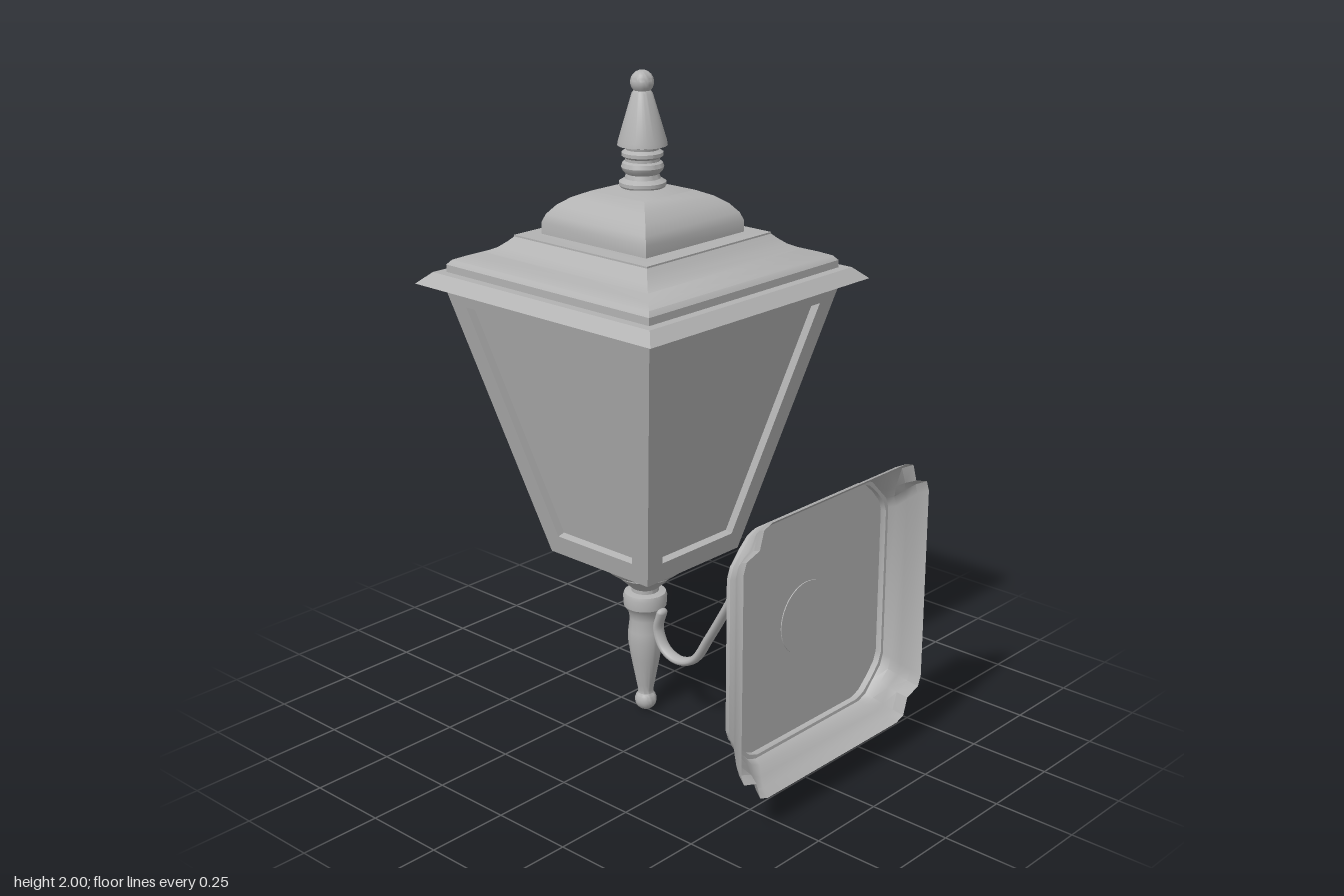
import * as THREE from 'three';
import { toCreasedNormals } from 'three/addons/utils/BufferGeometryUtils.js';

const metal = new THREE.MeshStandardMaterial({ name: 'greyMetal', color: 0xb2b2b2 });
const shell = new THREE.MeshStandardMaterial({ name: 'greyShell', color: 0xb2b2b2, side: THREE.DoubleSide });

const CREASE = 0.55;
const AXIS_X = -0.143;

function part(name, geometry, material = metal) {
  const mesh = new THREE.Mesh(geometry, material);
  mesh.name = name;
  return mesh;
}

// Round turning; profile is [radius, y] from bottom to top
function turned(name, profile) {
  const pts = profile.map(([r, y]) => new THREE.Vector2(r, y));
  return part(name, toCreasedNormals(new THREE.LatheGeometry(pts, 40), CREASE));
}

// Square loft; profile is [half width, y] from bottom to top
function square(name, profile) {
  const pts = profile.map(([h, y]) => new THREE.Vector2(h * Math.SQRT2, y));
  const geo = new THREE.LatheGeometry(pts, 4);
  geo.rotateY(Math.PI / 4);
  return part(name, toCreasedNormals(geo, CREASE));
}

// Points of a small ball, for the finial ends
function ball(cy, r, from, to, n = 8) {
  return Array.from({ length: n + 1 }, (_, i) => {
    const a = from + (to - from) * i / n;
    return [Math.max(0, r * Math.cos(a)), cy + r * Math.sin(a)];
  });
}

// Sloped frame around one pane
function paneFrame() {
  const bottom = 0.54, top = 1.39, low = 0.2, high = 0.41;
  const tilt = Math.atan2(high - low, top - bottom);
  const v = y => (y - bottom) / Math.cos(tilt);
  const trapezoid = (T, y0, w0, y1, w1) => new T([
    [-w0, y0], [w0, y0], [w1, y1], [-w1, y1],
  ].map(([x, y]) => new THREE.Vector2(x, v(y))));
  const shape = trapezoid(THREE.Shape, bottom, low, top, high);
  shape.holes.push(trapezoid(THREE.Path, 0.605, 0.153, 1.325, 0.33));
  const geo = new THREE.ExtrudeGeometry(shape, { depth: 0.025, bevelEnabled: false });
  geo.translate(0, 0, -0.025);
  geo.rotateX(tilt);
  geo.translate(0, bottom, low);
  return geo;
}

// Outline of the wall plate in (z, y), with shaped corners
function plateOutline(h, dent) {
  const m = 0.045 + dent;
  const corner = [[0, 0.115], [0.012, 0.082], [m, m], [0.082, 0.012], [0.115, 0]];
  const out = [];
  for (let q = 0; q < 4; q++) {
    const c = [1, 0, -1, 0][q], s = [0, 1, 0, -1][q];
    for (const [a, b] of corner) {
      const z = h - a, y = h - b;
      out.push([z * c - y * s, z * s + y * c]);
    }
  }
  return out;
}

// Hollow wall plate, open towards the wall
function wallPlate() {
  const rings = [[0.486, 0.343, 0], [0.505, 0.343, 0], [0.506, 0.352, 0.002], [0.53, 0.36, 0.006],
    [0.552, 0.38, 0.012], [0.575, 0.399, 0.018], [0.605, 0.413, 0.02]];
  const pos = [0.486, 0, 0], index = [];
  const n = 20;
  for (const [x, h, dent] of rings) {
    for (const [z, y] of plateOutline(h, dent)) pos.push(x, y, z);
  }
  for (let k = 0; k < n; k++) {
    const next = (k + 1) % n;
    index.push(0, 1 + k, 1 + next);
    for (let i = 0; i < rings.length - 1; i++) {
      const a = 1 + i * n + k, b = 1 + i * n + next;
      index.push(a, a + n, b, b, a + n, b + n);
    }
  }
  const geo = new THREE.BufferGeometry();
  geo.setAttribute('position', new THREE.Float32BufferAttribute(pos, 3));
  geo.setIndex(index);
  return toCreasedNormals(geo, 0.7);
}

export function createModel() {
  const model = new THREE.Group();
  model.name = 'wallLantern';

  const lantern = new THREE.Group();
  lantern.name = 'lantern';
  lantern.position.x = AXIS_X;
  model.add(lantern);

  // Panes and floor, with a frame on each side
  lantern.add(square('panes', [[0, 0.541], [0.199, 0.541], [0.178, 0.55], [0.385, 1.39]]));
  const frameGeo = paneFrame();
  for (let i = 0; i < 4; i++) {
    const frame = part('paneFrame', frameGeo);
    frame.rotation.y = i * Math.PI / 2;
    lantern.add(frame);
  }

  // Stepped roof
  lantern.add(square('roof', [
    [0, 1.386], [0.467, 1.386], [0.43, 1.42], [0.402, 1.42], [0.402, 1.442],
    [0.39, 1.456], [0.36, 1.468], [0.325, 1.478], [0.295, 1.493], [0.275, 1.51],
    [0.262, 1.523], [0.262, 1.528], [0.206, 1.53], [0.206, 1.565], [0.197, 1.588],
    [0.175, 1.615], [0.145, 1.637], [0.105, 1.655], [0.06, 1.668], [0, 1.672],
  ]));

  // Top finial
  lantern.add(turned('topFinial', [
    [0.06, 1.66], [0.068, 1.672], [0.068, 1.682], [0.052, 1.692], [0.048, 1.705],
    [0.058, 1.715], [0.062, 1.725], [0.058, 1.737], [0.05, 1.742], [0.05, 1.75],
    [0.06, 1.757], [0.06, 1.767], [0.048, 1.775], [0.05, 1.782], [0.072, 1.787],
    [0.07, 1.8], [0.03, 1.935], [0.023, 1.944],
    ...ball(1.966, 0.034, -0.75, Math.PI / 2),
  ]));

  // Cup and turned stem below the body
  lantern.add(turned('bottomFinial', [
    ...ball(0.034, 0.034, -Math.PI / 2, 0.8),
    [0.024, 0.07], [0.028, 0.09], [0.045, 0.18], [0.054, 0.24], [0.053, 0.275], [0.048, 0.315],
    [0.053, 0.34], [0.066, 0.358], [0.068, 0.39], [0.064, 0.402], [0.042, 0.406],
    [0.042, 0.418], [0.088, 0.462], [0.088, 0.47], [0.105, 0.474], [0.125, 0.49],
    [0.138, 0.512], [0.143, 0.545],
  ]));

  // Scrolled arm
  const path = new THREE.CatmullRomCurve3([
    [-0.073, 0.35], [-0.088, 0.29], [-0.06, 0.233], [-0.005, 0.212], [0.06, 0.235], [0.12, 0.325],
    [0.19, 0.445], [0.255, 0.56], [0.32, 0.6], [0.38, 0.57], [0.4, 0.515], [0.378, 0.463], [0.325, 0.447],
  ].map(([x, y]) => new THREE.Vector3(x, y, 0)));
  const arm = new THREE.Group();
  arm.name = 'arm';
  arm.scale.z = 1.6;
  arm.add(part('armScroll', new THREE.TubeGeometry(path, 90, 0.013, 12)));
  for (const t of [0, 1]) {
    const tip = part('armTip', new THREE.SphereGeometry(0.013, 12, 8));
    tip.position.copy(path.getPoint(t));
    arm.add(tip);
  }
  model.add(arm);

  // Wall plate with its boss
  const plate = new THREE.Group();
  plate.name = 'wallMount';
  plate.position.y = 0.512;
  plate.add(part('wallPlate', wallPlate(), shell));
  const boss = turned('boss', [
    [0, -0.003], [0.11, -0.003], ...ball(0, 0.11, 0, Math.PI / 2, 14).map(([r, y]) => [r, y * 0.82]),
  ]);
  boss.rotation.z = Math.PI / 2;
  boss.position.x = 0.486;
  plate.add(boss);
  model.add(plate);

  return model;
}
